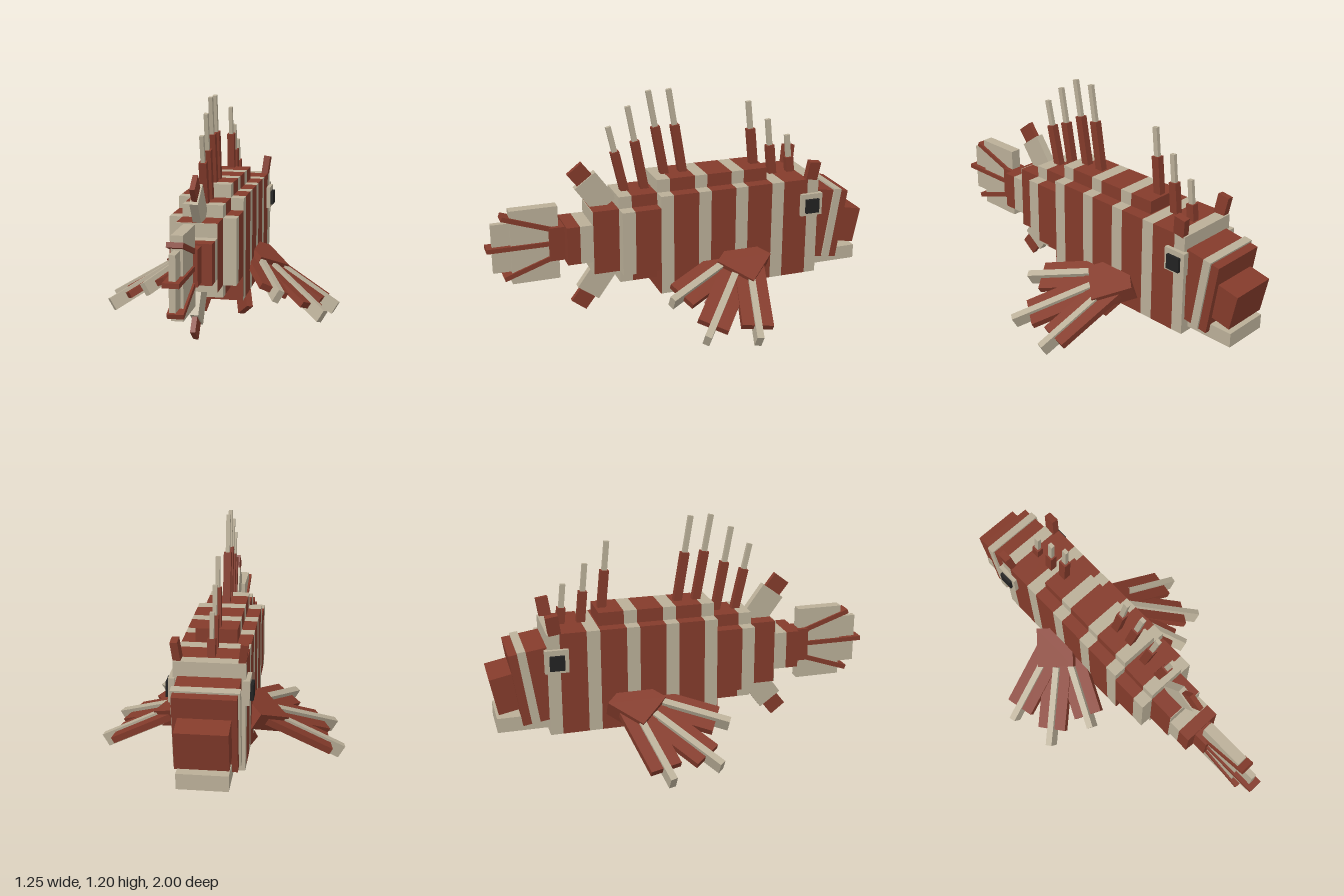
import * as THREE from 'three';

const red = new THREE.MeshStandardMaterial({ color: 0x843b2b, name: 'rust red' });
const cream = new THREE.MeshStandardMaterial({ color: 0xbaaf98, name: 'cream' });
const black = new THREE.MeshStandardMaterial({ color: 0x222222, name: 'eye black' });

function box(parent, name, mat, size, pos, rot = [0, 0, 0]) {
  const m = new THREE.Mesh(new THREE.BoxGeometry(...size), mat);
  m.name = name;
  m.position.set(...pos);
  m.rotation.set(...rot);
  parent.add(m);
  return m;
}

// box running from point a to point b, w wide across x and d deep
function beam(parent, name, mat, a, b, w, d) {
  const A = new THREE.Vector3(...a), B = new THREE.Vector3(...b);
  const dir = B.clone().sub(A);
  const m = box(parent, name, mat, [w, dir.length(), d], A.clone().add(B).multiplyScalar(0.5).toArray());
  m.quaternion.setFromUnitVectors(new THREE.Vector3(0, 1, 0), dir.normalize());
  return m;
}

// block cut into alternating bands along z
function striped(parent, name, halfX, y0, y1, z0, z1) {
  const group = new THREE.Group();
  group.name = name;
  const bands = [];
  for (let k = -5; k <= 3; k++) {
    const s = 0.08 + 0.2 * k;
    bands.push([s, s + 0.067, cream], [s + 0.067, s + 0.2, red]);
  }
  for (const [s, e, mat] of bands) {
    const a = Math.max(s, z0), b = Math.min(e, z1);
    if (b - a < 0.002) continue;
    box(group, mat === cream ? 'creamBand' : 'redBand', mat,
      [halfX * 2, y1 - y0, b - a], [0, (y0 + y1) / 2, (a + b) / 2]);
  }
  parent.add(group);
}

// fan-shaped side fin; s is +1 for left, -1 for right
function pectoralFin(parent, s) {
  const fin = new THREE.Group();
  fin.name = s > 0 ? 'leftPectoralFin' : 'rightPectoralFin';
  fin.position.set(s * 0.165, 0.315, 0);
  fin.rotation.z = -s * Math.PI / 6;
  box(fin, 'finRoot', red, [0.21, 0.09, 0.21], [s * 0.03, 0, -0.285], [0, Math.PI / 4, 0]);
  const rays = [[12.5, 0.49, 0.57], [37, 0.54, 0.63], [62, 0.48, 0.55]];
  rays.forEach(([deg, web, ray], i) => {
    const t = THREE.MathUtils.degToRad(deg);
    const at = (r, y) => [s * (-0.05 + r * Math.cos(t)), y, -0.33 + r * Math.sin(t)];
    const rot = [0, -s * t, 0];
    box(fin, 'finWeb', red, [web - 0.1, 0.034, 0.16], at(web / 2 + 0.05, 0.006 - i * 0.006), rot);
    box(fin, 'finRay', cream, [ray - 0.2, 0.07, 0.035], at(ray / 2 + 0.1, 0), rot);
  });
  parent.add(fin);
}

export function createModel() {
  const fish = new THREE.Group();
  fish.name = 'fish';

  // banded body, stepping down toward the tail
  striped(fish, 'mainBody', 0.165, 0.18, 0.705, -0.715, 0.147);
  striped(fish, 'backRidge', 0.1, 0.705, 0.772, -0.447, 0.147);
  striped(fish, 'rearBody', 0.165, 0.31, 0.643, 0.147, 0.347);
  striped(fish, 'rearRidges', 0.1, 0.247, 0.705, 0.147, 0.347);
  striped(fish, 'tailBase', 0.1, 0.31, 0.643, 0.347, 0.48);
  striped(fish, 'tailStem', 0.1, 0.378, 0.575, 0.48, 0.613);
  box(fish, 'bellyEnd', red, [0.33, 0.13, 0.004], [0, 0.245, 0.149]);
  box(fish, 'tailBaseEnd', cream, [0.2, 0.333, 0.004], [0, 0.4765, 0.482]);
  box(fish, 'tailJoint', red, [0.1, 0.175, 0.08], [0, 0.478, 0.65]);

  // tail fin with three rays
  box(fish, 'tailFin', cream, [0.055, 0.385, 0.24], [0, 0.478, 0.76]);
  box(fish, 'tailFinEdge', cream, [0.03, 0.255, 0.09], [0, 0.478, 0.925]);
  box(fish, 'tailRay', red, [0.076, 0.023, 0.33], [0, 0.478, 0.835]);
  for (const s of [1, -1]) {
    const y = (h) => 0.478 + s * h;
    beam(fish, 'tailRay', red, [0, y(0.07), 0.66], [0, y(0.16), 0.92], 0.076, 0.024);
    // upper and lower rear fins
    beam(fish, 'rearFin', cream, [0, y(0.16), 0.39], [0, y(0.304), 0.495], 0.04, 0.133);
    beam(fish, 'rearFinTip', red, [0, y(0.28), 0.477], [0, y(0.368), 0.545], 0.025, 0.094);
  }

  // back spines: base y, base z, base top y, tip y, tip z
  const spines = [
    [0.705, 0.29, 0.91, 1.04, 0.366], [0.705, 0.185, 0.955, 1.135, 0.265],
    [0.77, 0.078, 1.02, 1.205, 0.158], [0.77, -0.02, 1.02, 1.205, 0.052],
    [0.77, -0.412, 0.96, 1.105, -0.378], [0.705, -0.52, 0.86, 1.0, -0.49],
    [0.705, -0.623, 0.785, 0.905, -0.602],
  ];
  for (const [y0, z0, y1, y2, z2] of spines) {
    const zAt = (y) => z0 + (z2 - z0) * (y - y0) / (y2 - y0);
    beam(fish, 'spineBase', red, [0, y0 - 0.04, zAt(y0 - 0.04)], [0, y1, zAt(y1)], 0.037, 0.042);
    beam(fish, 'spineTip', cream, [0, y1 - 0.03, zAt(y1 - 0.03)], [0, y2, z2], 0.02, 0.026);
  }

  // head, tilted slightly forward
  const tilt = -0.15;
  box(fish, 'head', red, [0.29, 0.375, 0.2], [0, 0.437, -0.775], [tilt, 0, 0]);
  box(fish, 'gillBand', cream, [0.31, 0.38, 0.042], [0, 0.438, -0.811], [tilt, 0, 0]);
  box(fish, 'snout', red, [0.24, 0.19, 0.14], [0, 0.405, -0.91], [-0.2, 0, 0]);
  box(fish, 'jaw', cream, [0.236, 0.075, 0.26], [0, 0.24, -0.84]);

  // paired parts
  for (const s of [1, -1]) {
    box(fish, 'eyeRim', cream, [0.03, 0.118, 0.118], [s * 0.17, 0.57, -0.672]);
    box(fish, 'eye', black, [0.02, 0.074, 0.074], [s * 0.19, 0.565, -0.672]);
    box(fish, 'browHorn', red, [0.035, 0.155, 0.062], [s * 0.15, 0.722, -0.678], [-0.14, 0, -s * 0.12]);
    beam(fish, 'pelvicFin', red, [s * 0.075, 0.24, -0.28], [s * 0.13, 0.045, -0.13], 0.036, 0.1);
    pectoralFin(fish, s);
  }
  return fish;
}
